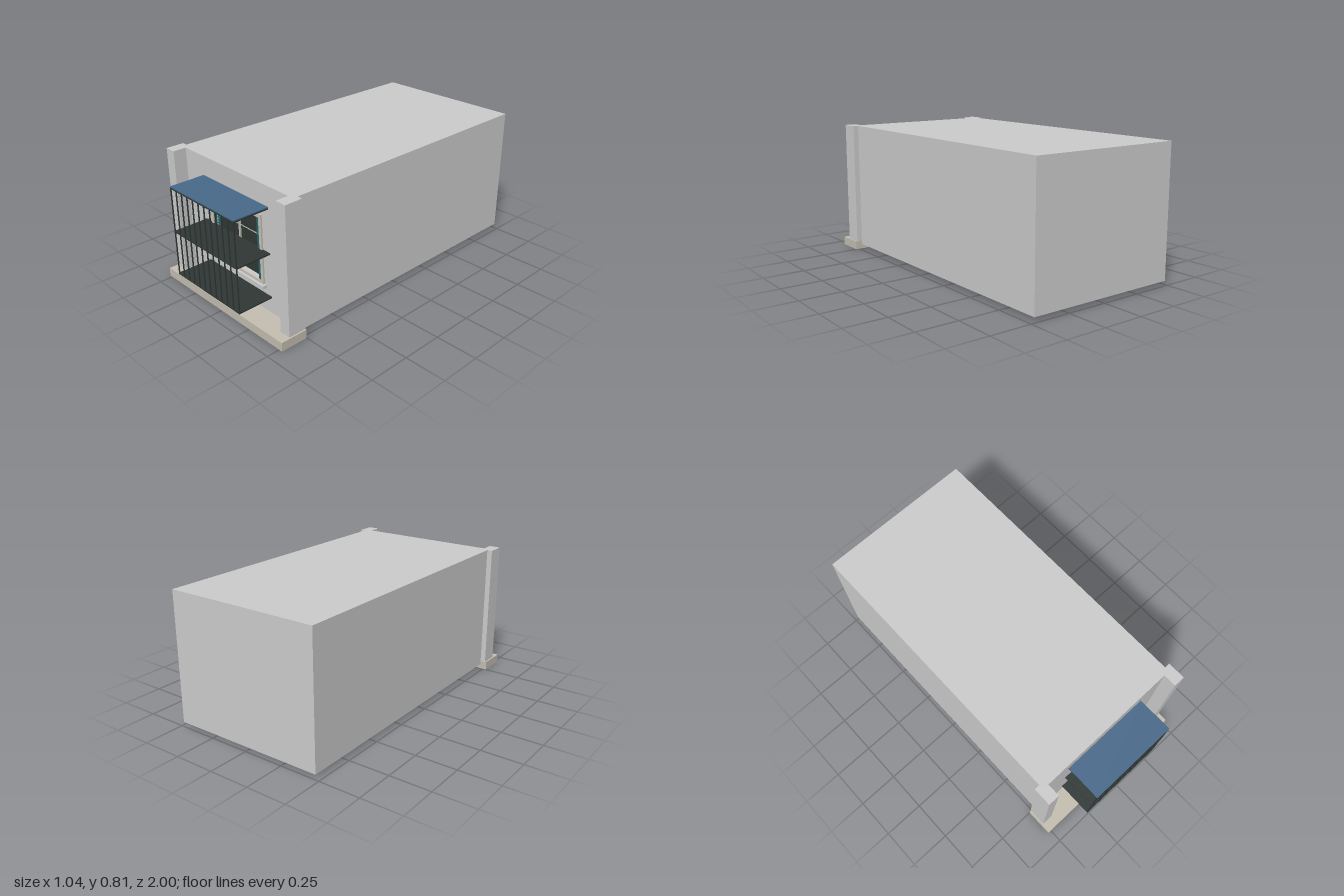
import * as THREE from 'three';

const mat = (color) => new THREE.MeshStandardMaterial({ color });

export function createModel() {
  const model = new THREE.Group();
  const wall = mat(0xcccccc), stone = mat(0xc4beb0), iron = mat(0x2f3735);
  const blue = mat(0x48698a), teal = mat(0x24666a), trim = mat(0xc8c2b6);

  // Box given by its minimum and maximum on each axis
  const box = (name, material, x0, x1, y0, y1, z0, z1, parent = model) => {
    const mesh = new THREE.Mesh(new THREE.BoxGeometry(x1 - x0, y1 - y0, z1 - z0), material);
    mesh.position.set((x0 + x1) / 2, (y0 + y1) / 2, (z0 + z1) / 2);
    mesh.name = name;
    parent.add(mesh);
    return mesh;
  };

  // Rectangular plate with a rectangular opening
  const plate = (name, material, [x0, x1, y0, y1], [a0, a1, b0, b1], z0, z1) => {
    const rect = (path, l, r, b, t) => path.moveTo(l, b).lineTo(r, b).lineTo(r, t).lineTo(l, t).closePath();
    const shape = new THREE.Shape();
    rect(shape, x0, x1, y0, y1);
    const hole = new THREE.Path();
    rect(hole, a0, a1, b0, b1);
    shape.holes.push(hole);
    const geometry = new THREE.ExtrudeGeometry(shape, { depth: z1 - z0, bevelEnabled: false });
    const mesh = new THREE.Mesh(geometry, material);
    mesh.position.z = z0;
    mesh.name = name;
    model.add(mesh);
  };

  // Building body, with a window opening in its front wall
  const opening = [-0.205, 0.205, 0.23, 0.612];
  box('buildingBody', wall, -0.48, 0.48, 0.03, 0.815, -1, 0.74);
  plate('frontWall', wall, [-0.48, 0.48, 0.03, 0.815], opening, 0.74, 0.78);

  // Corner pilasters and plinth
  for (const s of [-1, 1]) {
    const x = s * 0.4775;
    box('pilaster', wall, x - 0.035, x + 0.035, 0.05, 0.815, 0.75, 0.86);
  }
  box('plinth', stone, -0.522, 0.522, 0, 0.053, 0.75, 0.92);

  // Window surround and sill
  plate('windowFrame', trim, [-0.225, 0.225, 0.215, 0.635], opening, 0.78, 0.79);
  box('windowSill', wall, -0.239, 0.239, 0.196, 0.215, 0.78, 0.805);

  // Panes with mullion and glazing bars
  for (const s of [-1, 1]) {
    const x = s * 0.104;
    box('windowPane', iron, x - 0.101, x + 0.101, 0.23, 0.612, 0.74, 0.755);
  }
  box('mullion', trim, -0.005, 0.005, 0.23, 0.612, 0.74, 0.765);
  for (const y of [0.358, 0.486]) {
    box('glazingBar', trim, -0.185, 0.185, y - 0.002, y + 0.002, 0.74, 0.758);
  }

  // Louvred shutters folded against the sides of the opening
  for (const s of [-1, 1]) {
    const shutter = new THREE.Group();
    shutter.name = 'shutter';
    const x = s * 0.193;
    for (const z of [0.757, 0.783]) {
      box('shutterStile', teal, x - 0.009, x + 0.009, 0.232, 0.61, z - 0.003, z + 0.003, shutter);
    }
    const count = 22;
    for (let i = 0; i < count; i++) {
      const y = 0.241 + (i * 0.36) / (count - 1);
      const slat = box('shutterSlat', teal, x - 0.012, x + 0.012, y - 0.002, y + 0.002, 0.756, 0.785, shutter);
      slat.rotation.z = s * -0.5;
    }
    model.add(shutter);
  }

  // Projecting window cage: shelves, roof sheet and front bars
  const cage = new THREE.Group();
  cage.name = 'windowCage';
  for (const y of [0.154, 0.423, 0.688]) {
    box('cageShelf', iron, -0.282, 0.282, y - 0.004, y + 0.004, 0.78, 1, cage);
  }
  box('cageRoof', blue, -0.282, 0.282, 0.692, 0.698, 0.78, 1, cage);
  for (let i = 0; i < 12; i++) {
    const x = -0.279 + (i * 0.558) / 11;
    box('cageBar', iron, x - 0.003, x + 0.003, 0.15, 0.692, 0.994, 1, cage);
  }
  model.add(cage);

  return model;
}
